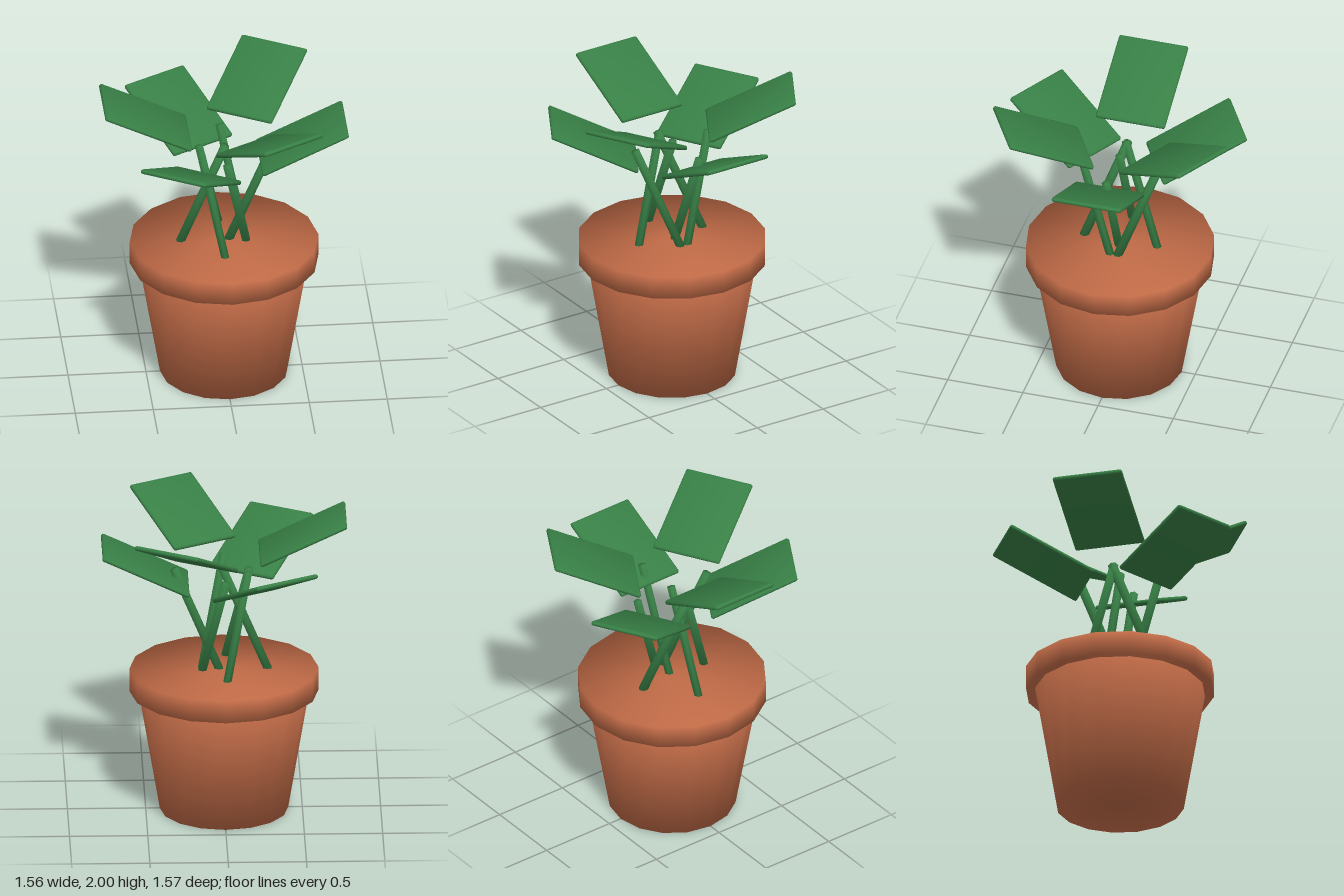
import * as THREE from 'three';
import { mergeVertices } from 'three/addons/utils/BufferGeometryUtils.js';
import { RoundedBoxGeometry } from 'three/addons/geometries/RoundedBoxGeometry.js';

const material = (name, color) => {
  const m = new THREE.MeshStandardMaterial({ color });
  m.name = name;
  return m;
};

// Weld a geometry and give every corner the plain average of its face normals
function soften(source) {
  source.deleteAttribute('normal');
  source.deleteAttribute('uv');
  const geo = mergeVertices(source, 1e-4);
  const pos = geo.attributes.position;
  const sums = Array.from({ length: pos.count }, () => new THREE.Vector3());
  const tri = new THREE.Triangle();
  const normal = new THREE.Vector3();
  for (let i = 0; i < geo.index.count; i += 3) {
    const ids = [0, 1, 2].map((k) => geo.index.getX(i + k));
    tri.setFromAttributeAndIndices(pos, ...ids);
    if (tri.getArea() < 1e-9) continue;
    tri.getNormal(normal);
    ids.forEach((id) => sums[id].add(normal));
  }
  const data = sums.flatMap((v) => v.normalize().toArray());
  geo.setAttribute('normal', new THREE.Float32BufferAttribute(data, 3));
  return geo;
}

export function createModel() {
  const terracotta = material('terracotta', 0xc16b47);
  const green = material('leafGreen', 0x388046);
  const model = new THREE.Group();
  model.name = 'pottedPlant';

  const add = (name, geo, mat, x, y, z) => {
    const mesh = new THREE.Mesh(geo, mat);
    mesh.name = name;
    mesh.position.set(x, y, z);
    model.add(mesh);
    return mesh;
  };

  // Tapered pot with a wide, filled rim
  add('potBody', soften(new THREE.CylinderGeometry(0.56, 0.41, 0.88, 16)), terracotta, 0, 0.44, 0);
  add('potRim', soften(new THREE.CylinderGeometry(0.605, 0.605, 0.15, 16)), terracotta, 0, 0.875, 0);

  const stemGeo = soften(new THREE.CylinderGeometry(0.029, 0.029, 0.845, 6));
  const leafGeo = soften(new RoundedBoxGeometry(0.61, 0.03, 0.46, 1, 0.013));

  for (let i = 0; i < 6; i++) {
    const angle = (i * Math.PI) / 3;
    const c = Math.cos(angle);
    const s = Math.sin(angle);

    // Crossing stems: each leans along twice its ring angle
    const stem = add(`stem${i + 1}`, stemGeo, green, 0.155 * c, 1.24, 0.155 * s);
    stem.rotation.set(0, -2 * angle, -0.4);

    // Square leaves tilt up outwards, alternating low and high
    const leaf = add(`leaf${i + 1}`, leafGeo, green, 0.503 * c, i % 2 ? 1.857 : 1.653, 0.503 * s);
    leaf.rotation.set(0, -angle, 0.44);
  }
  return model;
}
